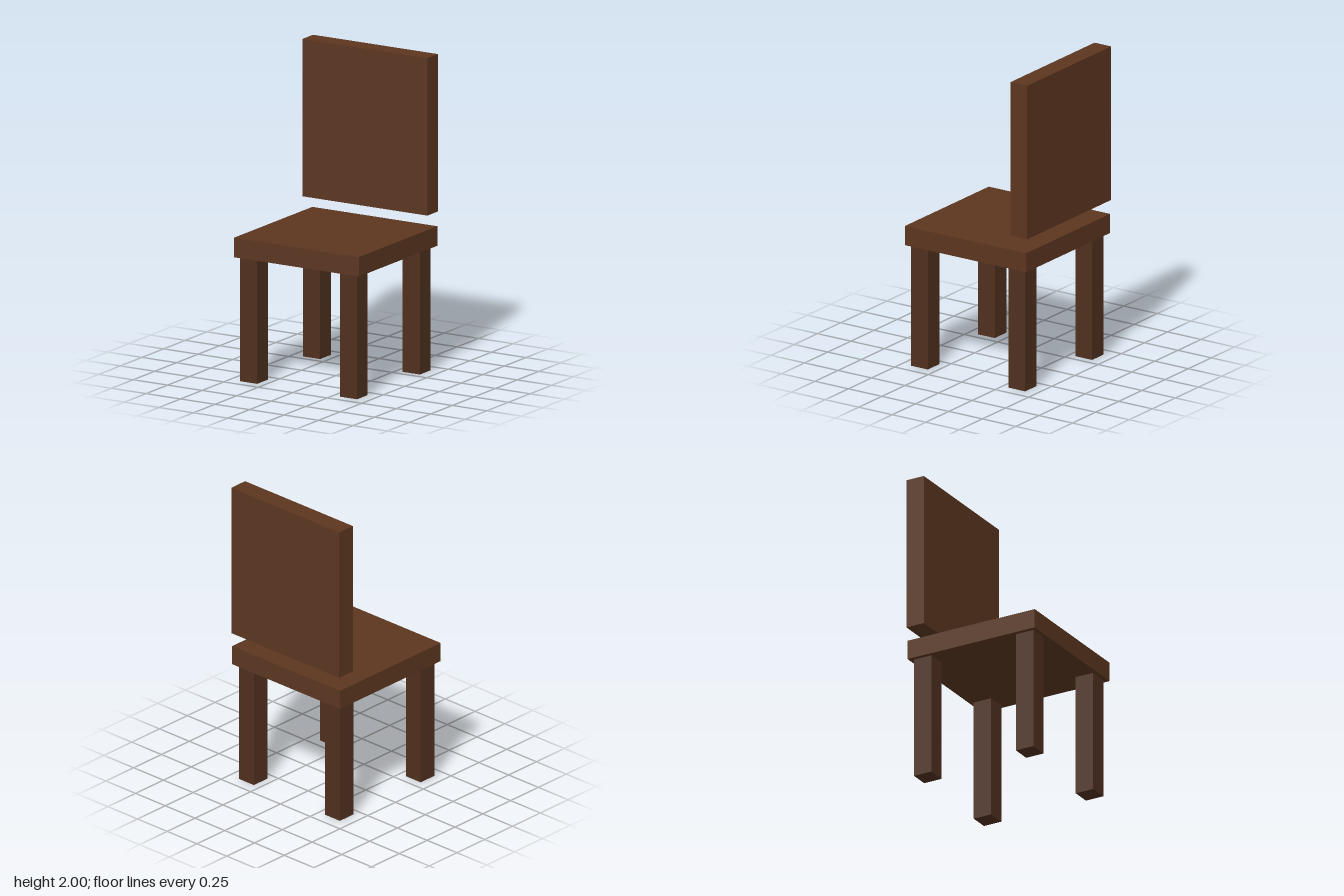
import * as THREE from 'three';

export function createModel() {
  const group = new THREE.Group();
  const panelWood = new THREE.MeshStandardMaterial({ color: 0x5c3620 });
  const legWood = new THREE.MeshStandardMaterial({ color: 0x50301f });

  // Box given by its size and its centre
  const addBox = (name, size, centre, material) => {
    const mesh = new THREE.Mesh(new THREE.BoxGeometry(...size), material);
    mesh.name = name;
    mesh.position.set(...centre);
    group.add(mesh);
  };

  const width = 0.906;
  const thickness = 0.124;
  const seatBottom = 0.787;

  // Square seat slab
  addBox('seat', [width, thickness, width], [0, seatBottom + thickness / 2, 0.004], panelWood);

  // Backrest panel, floating above the rear edge of the seat
  addBox('backrest', [width, 0.997, thickness], [0, 1.5015, -0.395], panelWood);

  // Four square legs
  for (const [side, x] of [['Left', 0.36], ['Right', -0.363]]) {
    for (const [end, z] of [['front', 0.369], ['back', -0.358]]) {
      addBox(`${end}${side}Leg`, [thickness, seatBottom, thickness], [x, seatBottom / 2, z], legWood);
    }
  }

  return group;
}
